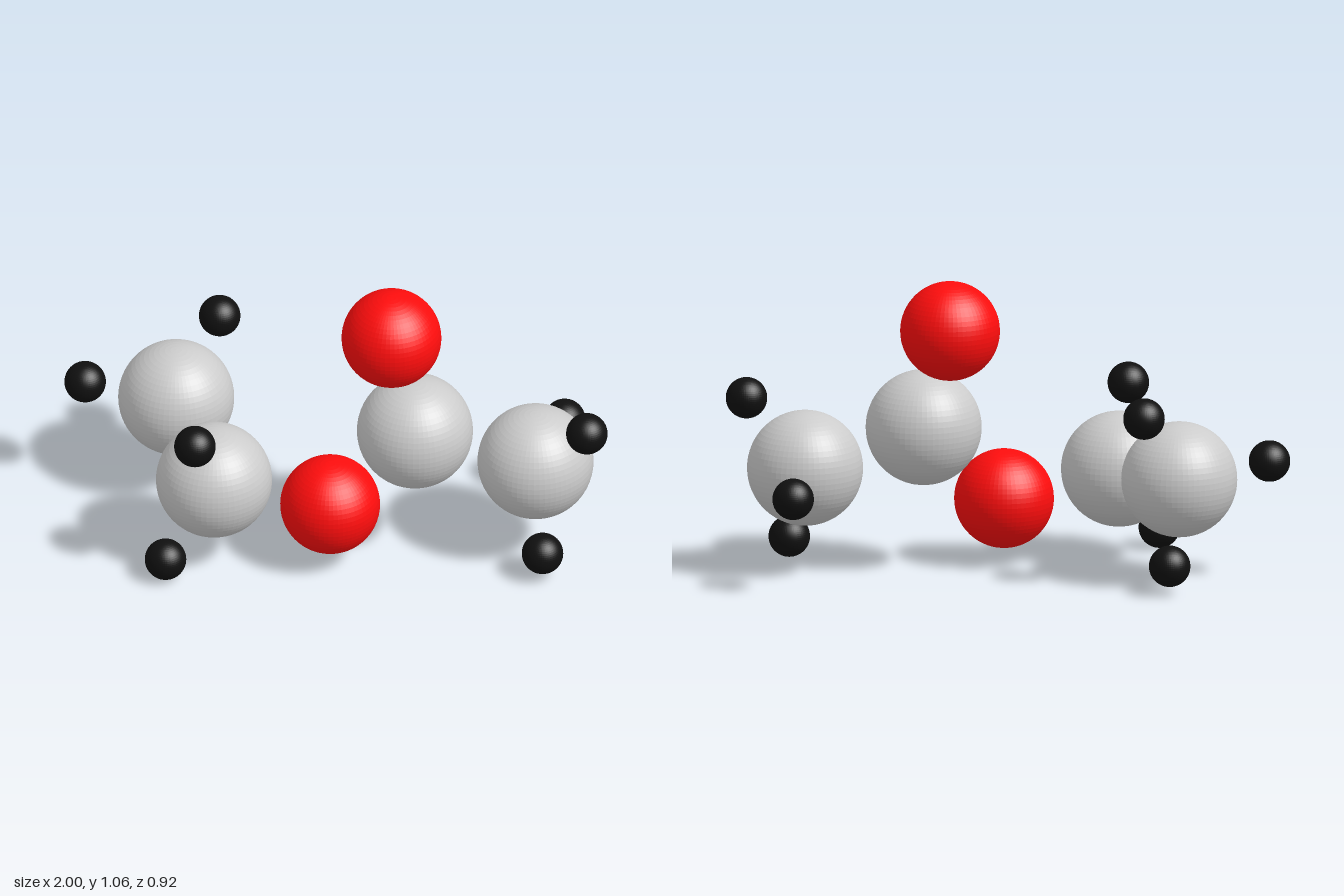
import * as THREE from 'three';

// Each kind of atom: radius, colour and centres
const ATOMS = {
  carbon: {
    radius: 0.207, color: 0xcccccc,
    centres: {
      acetylMethyl: [0.72, 0.389, 0.028],
      carbonyl: [0.293, 0.52, 0.078],
      ethylInner: [-0.413, 0.329, 0.204],
      ethylOuter: [-0.602, 0.381, -0.206],
    },
  },
  oxygen: {
    radius: 0.178, color: 0xff0d0d,
    centres: {
      carbonyl: [0.202, 0.882, 0.027],
      bridge: [0, 0.235, 0.17],
    },
  },
  hydrogen: {
    radius: 0.074, color: 0x101010,
    centres: {
      acetylUpper: [0.921, 0.619, 0.155],
      acetylLower: [0.766, 0.103, 0.189],
      acetylBack: [0.783, 0.348, -0.294],
      ethylInnerUpper: [-0.458, 0.602, 0.388],
      ethylInnerLower: [-0.567, 0.077, 0.361],
      ethylOuterUpper: [-0.466, 0.639, -0.363],
      ethylOuterLower: [-0.556, 0.105, -0.388],
      ethylOuterSide: [-0.926, 0.437, -0.18],
    },
  },
};

export function createModel() {
  const model = new THREE.Group();
  model.name = 'molecule';
  for (const [kind, { radius, color, centres }] of Object.entries(ATOMS)) {
    // Atoms of one kind share a finely faceted ball
    const geometry = new THREE.SphereGeometry(radius, 64, 32);
    const material = new THREE.MeshStandardMaterial({ color, flatShading: true });
    const group = new THREE.Group();
    group.name = `${kind}Atoms`;
    for (const [place, centre] of Object.entries(centres)) {
      const atom = new THREE.Mesh(geometry, material);
      atom.name = `${place}${kind[0].toUpperCase()}${kind.slice(1)}`;
      atom.position.set(...centre);
      group.add(atom);
    }
    model.add(group);
  }
  return model;
}
